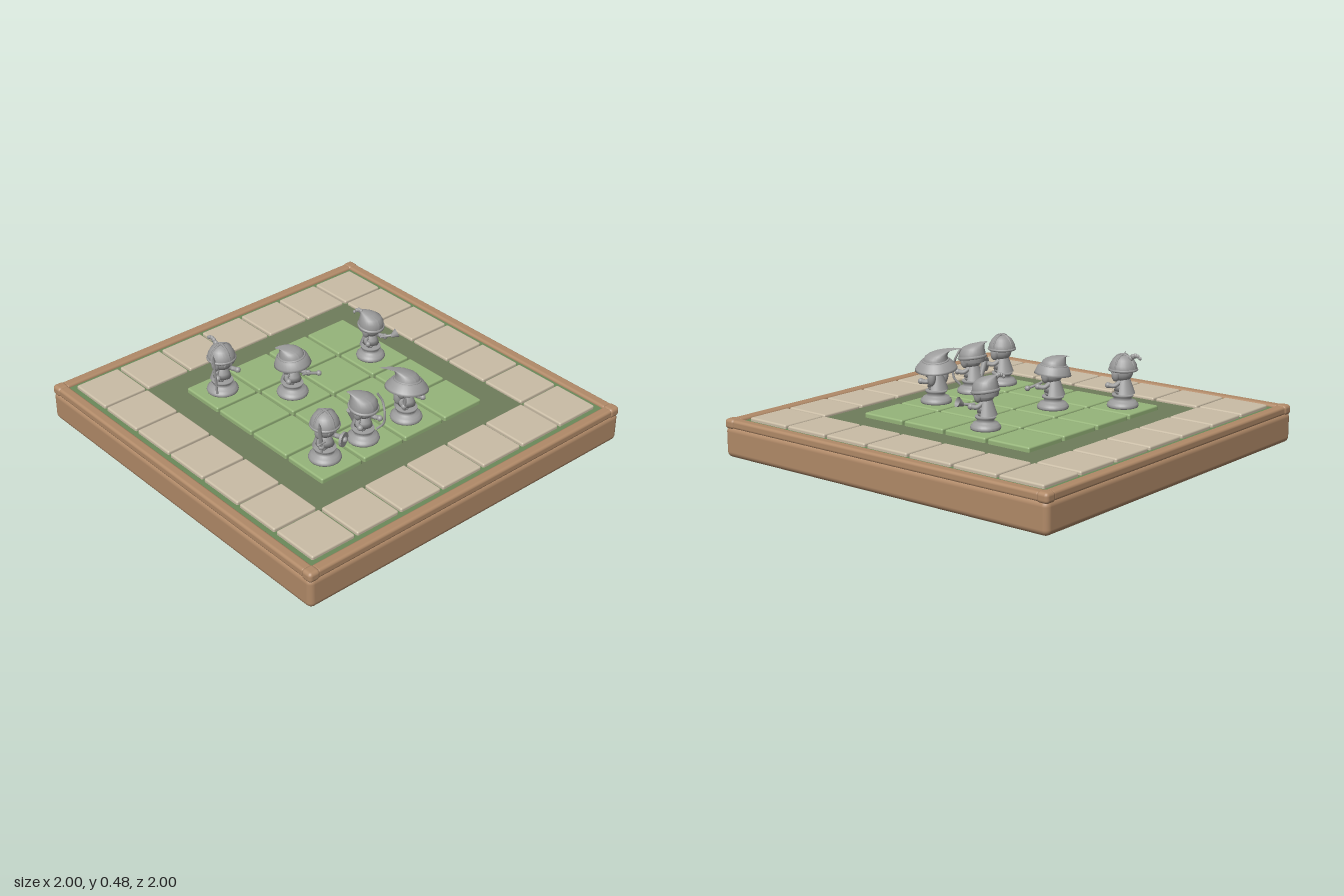
import * as THREE from 'three';
import { RoundedBoxGeometry } from 'three/addons/geometries/RoundedBoxGeometry.js';

const mat = (name, color, side = THREE.FrontSide) => {
  const m = new THREE.MeshStandardMaterial({ color, side });
  m.name = name;
  return m;
};

export function createModel() {
  const wood = mat('wood', 0xb18a68);
  const stone = mat('stone', 0xcabda6);
  const grass = mat('grass', 0x96b57a);
  const moss = mat('moss', 0x6b8a5a);
  const field = mat('field', 0x6f7d5b);
  const pewter = mat('pewter', 0x9c9c9c, THREE.DoubleSide);

  const root = new THREE.Group();
  root.name = 'boardGame';
  const add = (parent, name, geo, material, x = 0, y = 0, z = 0) => {
    const m = new THREE.Mesh(geo, material);
    m.name = name;
    m.position.set(x, y, z);
    parent.add(m);
    return m;
  };
  const rbox = (w, h, d, r) => new RoundedBoxGeometry(w, h, d, 3, r);

  // Board: tray, rails, corner blocks
  add(root, 'tray', rbox(2, 0.16, 2, 0.03), wood, 0, 0.085, 0);
  add(root, 'mossBed', new THREE.BoxGeometry(1.9, 0.04, 1.9), moss, 0, 0.163, 0);
  add(root, 'innerField', new THREE.BoxGeometry(1.33, 0.005, 1.33), field, 0, 0.1845, 0);
  for (const s of [-1, 1]) {
    add(root, 'railX', rbox(1.9, 0.045, 0.055, 0.014), wood, 0, 0.174, s * 0.968);
    add(root, 'railZ', rbox(0.055, 0.045, 1.9, 0.014), wood, s * 0.968, 0.174, 0);
    for (const t of [-1, 1]) add(root, 'cornerBlock', rbox(0.064, 0.052, 0.064, 0.018), wood, s * 0.968, 0.174, t * 0.968);
  }

  // Stone border path and central 4 x 4 grass tiles
  const pitch = 0.2625;
  const stoneGeo = rbox(0.248, 0.04, 0.248, 0.009);
  const grassGeo = rbox(0.247, 0.035, 0.247, 0.009);
  for (let i = 0; i < 7; i++) for (let j = 0; j < 7; j++) {
    if (i % 6 && j % 6) continue;
    add(root, 'stoneTile', stoneGeo, stone, (i - 3) * pitch, 0.181, (j - 3) * pitch);
  }
  for (let i = 0; i < 4; i++) for (let j = 0; j < 4; j++)
    add(root, 'grassTile', grassGeo, grass, (i - 1.5) * pitch, 0.194, (j - 1.5) * pitch);

  // Figure helpers
  const lathe = (pts, seg = 28) => new THREE.LatheGeometry(pts.map(p => new THREE.Vector2(p[0], p[1])), seg);
  const ball = (r) => new THREE.SphereGeometry(r, 20, 14);
  const rod = (parent, name, r, pts) => add(parent, name, new THREE.TubeGeometry(
    new THREE.CatmullRomCurve3(pts.map(p => new THREE.Vector3(...p))), 14, r, 8), pewter);
  // Sweeps everything above y0 sideways, more strongly towards the tip
  const bend = (geo, y0, h, dx, dz, drop = 0) => {
    const p = geo.attributes.position;
    for (let i = 0; i < p.count; i++) {
      const t = Math.max(0, (p.getY(i) - y0) / h), k = t * t;
      p.setXYZ(i, p.getX(i) + dx * k, p.getY(i) - drop * k, p.getZ(i) + dz * k);
    }
    geo.computeVertexNormals();
    return geo;
  };

  // Pedestal, body, head, arms and hair shared by all figures
  const figure = (name, x, z, s = 1) => {
    const g = new THREE.Group();
    g.name = name;
    g.position.set(x, 0.211, z);
    g.scale.set(s, 1, s);
    root.add(g);
    add(g, 'pedestal', lathe([[0, 0], [0.077, 0], [0.08, 0.008], [0.077, 0.018], [0.07, 0.022], [0.066, 0.03],
      [0.048, 0.036], [0.044, 0.048], [0.054, 0.055], [0.054, 0.064], [0, 0.066]]), pewter);
    add(g, 'tunic', lathe([[0, 0.08], [0.045, 0.082], [0.037, 0.105], [0.03, 0.125], [0.018, 0.145], [0, 0.148]]), pewter);
    add(g, 'head', ball(0.053), pewter, 0, 0.177, 0.004);
    for (const sd of [-1, 1]) {
      add(g, 'boot', ball(0.017), pewter, sd * 0.02, 0.077, 0.01).scale.z = 1.4;
      rod(g, 'arm', 0.012, [[sd * 0.025, 0.13, 0], [sd * 0.05, 0.112, 0.015], [sd * 0.062, 0.112, 0.045]]);
      add(g, 'hand', ball(0.015), pewter, sd * 0.062, 0.112, 0.047);
      add(g, 'sideHair', ball(0.022), pewter, sd * 0.046, 0.17, 0.012).scale.y = 1.7;
      add(g, 'eye', ball(0.007), pewter, sd * 0.019, 0.168, 0.053).scale.set(1, 1.6, 0.5);
    }
    for (let i = -2; i <= 2; i++) {
      const f = add(g, 'fringe', ball(0.016), pewter, i * 0.017, 0.197 - Math.abs(i) * 0.003, 0.045 - Math.abs(i) * 0.005);
      f.scale.set(0.8, 1.4, 0.7);
    }
    return g;
  };
  const cape = (g) => add(g, 'cape', new THREE.CylinderGeometry(0.03, 0.058, 0.08, 18, 1, true, Math.PI * 0.55, Math.PI * 0.9), pewter, 0, 0.11, -0.004);
  // Domed helmet with rim and ridge bands
  const helmet = (g) => {
    add(g, 'helmet', lathe([[0.068, 0.184], [0.071, 0.192], [0.067, 0.215], [0.052, 0.242], [0.03, 0.258], [0, 0.264]]), pewter);
    add(g, 'helmetRim', new THREE.TorusGeometry(0.068, 0.007, 8, 28), pewter, 0, 0.19, 0).rotation.x = Math.PI / 2;
    for (const a of [Math.PI / 2, 0]) {
      const r = add(g, 'helmetRidge', new THREE.TorusGeometry(0.066, 0.006, 6, 24, Math.PI), pewter, 0, 0.193, 0);
      r.scale.y = 1.08;
      r.rotation.y = a;
    }
  };
  // Broad hat with a bent point
  const hat = (g, brim, dx, dz, tilt) => {
    const h = new THREE.Group();
    h.name = 'pointedHat';
    h.position.y = 0.19;
    h.rotation.set(-0.05, 0, tilt);
    g.add(h);
    add(h, 'brim', lathe([[0.05, 0.018], [0.075, 0.01], [brim * 0.93, -0.016], [brim, -0.018], [brim * 0.96, -0.008], [0.078, 0.022], [0.063, 0.03]], 32), pewter);
    add(h, 'hatBand', new THREE.TorusGeometry(0.063, 0.007, 8, 28), pewter, 0, 0.026, 0).rotation.x = Math.PI / 2;
    add(h, 'crown', bend(lathe([[0.066, 0.01], [0.063, 0.03], [0.058, 0.048], [0.05, 0.065], [0.038, 0.085], [0.028, 0.1],
      [0.018, 0.12], [0.009, 0.135], [0, 0.142]]), 0.03, 0.11, dx, dz, 0.065), pewter);
  };
  // Soft hood with a backward point
  const hood = (g, dx, dz) => {
    const c = add(g, 'hood', bend(lathe([[0.066, 0.165], [0.07, 0.185], [0.068, 0.21], [0.058, 0.235], [0.04, 0.258],
      [0.022, 0.276], [0.008, 0.29], [0, 0.294]]), 0.215, 0.08, dx, dz, 0.03), pewter);
    add(g, 'hoodEdge', new THREE.TorusGeometry(0.067, 0.009, 8, 28), pewter, 0, 0.185, 0).rotation.x = Math.PI / 2 + 0.15;
    return c;
  };
  const feather = (g, x, y, z, dx, dz) => {
    const n = 6;
    for (let i = 0; i < n; i++) {
      const t = i / (n - 1);
      add(g, 'feather', ball(0.017 - 0.008 * t), pewter, x + dx * t * t, y + 0.032 * Math.sin(t * 2.4), z + dz * t).scale.x = 0.75;
    }
  };
  const blade = (g, x, z, lean) => {
    const w = new THREE.Group();
    w.name = 'sword';
    w.position.set(x, 0.11, z);
    w.rotation.z = lean;
    g.add(w);
    add(w, 'grip', new THREE.CylinderGeometry(0.006, 0.006, 0.05, 8), pewter);
    add(w, 'guard', rbox(0.045, 0.009, 0.014, 0.003), pewter, 0, 0.027, 0);
    add(w, 'bladeBody', new THREE.CylinderGeometry(0.011, 0.013, 0.09, 4), pewter, 0, 0.075, 0).scale.z = 0.45;
    add(w, 'bladeTip', new THREE.ConeGeometry(0.011, 0.028, 4), pewter, 0, 0.134, 0).scale.z = 0.45;
  };

  // Knight with sword and round shield
  const knight = figure('knight', -0.39, 0.39);
  helmet(knight);
  blade(knight, -0.066, 0.052, 0.1);
  add(knight, 'shield', new THREE.CylinderGeometry(0.037, 0.037, 0.012, 24), pewter, 0.06, 0.108, 0.062).rotation.set(Math.PI / 2, 0, -0.35);
  add(knight, 'shieldBoss', ball(0.015), pewter, 0.062, 0.108, 0.068);
  cape(knight);

  // Hooded archer with bow
  const archer = figure('archer', -0.15, 0.39);
  hood(archer, -0.06, -0.055);
  cape(archer);
  rod(archer, 'bow', 0.006, [[0.07, 0.235, 0.02], [0.09, 0.19, 0.035], [0.082, 0.13, 0.06], [0.08, 0.08, 0.055], [0.06, 0.045, 0.03]]);
  add(archer, 'quiver', new THREE.CylinderGeometry(0.017, 0.013, 0.08, 12), pewter, -0.03, 0.125, -0.045).rotation.z = 0.4;

  // Witch with broad pointed hat
  const witch = figure('witch', 0.13, 0.39);
  hat(witch, 0.108, -0.1, -0.09, -0.14);
  cape(witch);
  rod(witch, 'wand', 0.006, [[-0.06, 0.09, 0.05], [-0.064, 0.13, 0.056], [-0.066, 0.165, 0.06]]);
  for (const s of [-1, 1]) add(witch, 'longHair', ball(0.022), pewter, s * 0.047, 0.135, -0.012).scale.y = 2;

  // Wizard with staff
  const wizard = figure('wizard', -0.145, -0.14);
  hat(wizard, 0.093, -0.055, -0.05, 0.08);
  cape(wizard);
  rod(wizard, 'staff', 0.007, [[0.02, 0.125, 0.055], [0.062, 0.117, 0.062], [0.1, 0.108, 0.075]]);
  add(wizard, 'staffOrb', ball(0.014), pewter, 0.106, 0.107, 0.077);

  // Bard with feathered cap and horn
  const bard = figure('bard', 0.38, -0.145, 0.93);
  hood(bard, -0.035, -0.055);
  feather(bard, -0.03, 0.232, -0.03, -0.03, -0.04);
  rod(bard, 'hornPipe', 0.007, [[0.03, 0.12, 0.045], [0.06, 0.12, 0.06], [0.085, 0.124, 0.078]]);
  const bell = add(bard, 'hornBell', new THREE.CylinderGeometry(0.026, 0.007, 0.04, 18, 1, true), pewter, 0.095, 0.128, 0.085);
  bell.rotation.set(0.7, 0, -0.95);
  cape(bard);

  // Lancer with plumed helmet and spear
  const lancer = figure('lancer', -0.39, -0.39);
  helmet(lancer);
  feather(lancer, 0, 0.235, -0.03, 0, -0.07);
  rod(lancer, 'spear', 0.006, [[-0.072, 0.03, 0.05], [-0.08, 0.13, 0.052], [-0.088, 0.22, 0.054]]);
  add(lancer, 'spearHead', new THREE.ConeGeometry(0.014, 0.045, 4), pewter, -0.09, 0.24, 0.054).scale.z = 0.5;
  cape(lancer);

  return root;
}
